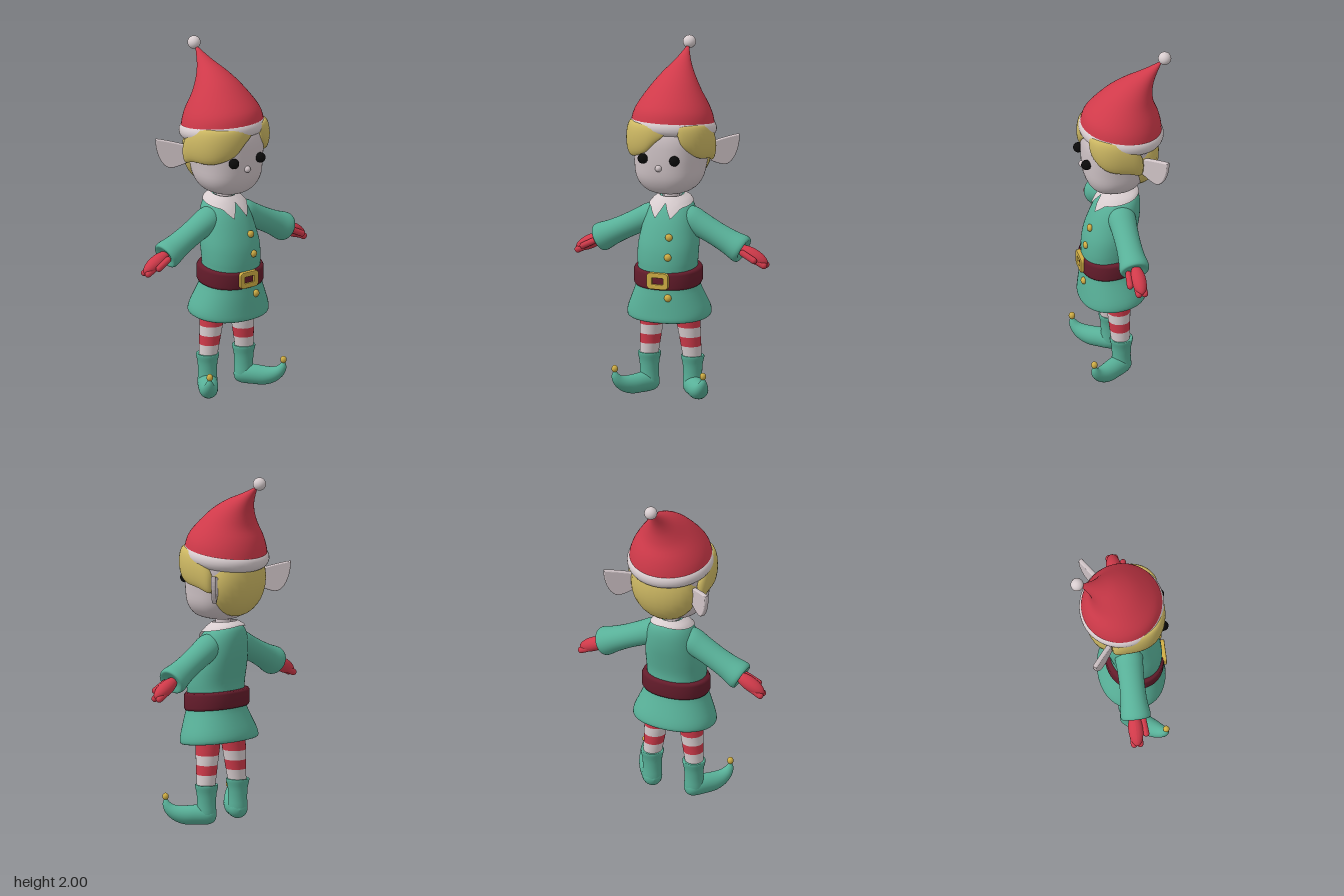
import * as THREE from 'three';
import { mergeVertices } from 'three/addons/utils/BufferGeometryUtils.js';

const paint = (name, color) => Object.assign(new THREE.MeshStandardMaterial({ color }), { name });
const rad = THREE.MathUtils.degToRad;
const lerp = THREE.MathUtils.lerp;

// Catmull-Rom interpolation between rows of numbers
function smooth(rows, k) {
  const out = [];
  for (let i = 0; i < rows.length - 1; i++) {
    const [a, b, c, d] = [-1, 0, 1, 2].map(o => rows[Math.min(Math.max(i + o, 0), rows.length - 1)]);
    for (let s = 0; s < k; s++) {
      const t = s / k;
      out.push(b.map((v, j) => v + 0.5 * t * (c[j] - a[j] +
        t * (2 * a[j] - 5 * v + 4 * c[j] - d[j] + t * (3 * (v - c[j]) + d[j] - a[j])))));
    }
  }
  out.push(rows[rows.length - 1]);
  return out;
}

// Skin closed rings: fn(row, angle) gives a point [x, y, z]
function loft(rows, fn, k = 3, n = 40) {
  const rings = k > 1 ? smooth(rows, k) : rows, pos = [], idx = [];
  rings.forEach((row, i) => {
    for (let j = 0; j < n; j++) {
      pos.push(...fn(row, j / n * Math.PI * 2));
      if (!i) continue;
      const p = (i - 1) * n + j, q = (i - 1) * n + (j + 1) % n;
      idx.push(p, q, q + n, p, q + n, p + n);
    }
  });
  const g = new THREE.BufferGeometry();
  g.setAttribute('position', new THREE.Float32BufferAttribute(pos, 3));
  g.setIndex(idx);
  g.computeVertexNormals();
  return g;
}

// Mirror a geometry across x and restore its winding
function mirror(geo) {
  const g = geo.index ? geo.clone() : mergeVertices(geo);
  g.scale(-1, 1, 1);
  const ix = g.index;
  for (let i = 0; i < ix.count; i += 3) {
    const t = ix.getX(i);
    ix.setX(i, ix.getX(i + 1));
    ix.setX(i + 1, t);
  }
  g.computeVertexNormals();
  return g;
}

const ball = (r, x, y, z, sx = 1, sy = 1, sz = 1) =>
  new THREE.SphereGeometry(r, 24, 16).scale(sx, sy, sz).translate(x, y, z);
const round = ([y, r], a) => [r * Math.sin(a), y, r * Math.cos(a)];
const pw = (v, p) => Math.sign(v) * Math.abs(v) ** p;

// Body ring: [height, half width, front z, back z], slightly boxy
const boxy = (p, tilt) => ([y, w, zf, zb], a) => {
  const z = (zf + zb) / 2 + (zf - zb) / 2 * pw(Math.cos(a), p);
  return [w * pw(Math.sin(a), p), y - tilt * (z - 0.08), z];
};

export function createModel() {
  const model = new THREE.Group();
  const red = paint('red felt', 0xd03a4a), green = paint('green cloth', 0x58b098);
  const skin = paint('pale skin', 0xcfc3c6), white = paint('white trim', 0xd8cdcf);
  const blond = paint('blond hair', 0xcdb863), gold = paint('gold', 0xd0ae45);
  const maroon = paint('maroon leather', 0x641c2b), black = paint('black', 0x0a0a0a);
  white.side = THREE.DoubleSide;

  const add = (name, geo, mat) => {
    const m = new THREE.Mesh(geo, mat);
    m.name = name;
    model.add(m);
    return m;
  };
  const pair = (name, geo, mat) => {
    add('left' + name, geo, mat);
    add('right' + name, mirror(geo), mat);
  };

  // Tunic with a flared, hollow hem
  const tunic = [
    [0.6, 0.001, 0.09, 0.088], [0.58, 0.14, 0.2, -0.03], [0.5, 0.2, 0.225, -0.08], [0.467, 0.224, 0.25, -0.103],
    [0.477, 0.239, 0.264, -0.118], [0.52, 0.233, 0.262, -0.108], [0.6, 0.2, 0.255, -0.075],
    [0.66, 0.178, 0.248, -0.055], [0.74, 0.168, 0.245, -0.05], [0.8, 0.172, 0.245, -0.05],
    [0.88, 0.172, 0.235, -0.065], [0.96, 0.16, 0.21, -0.08], [1.03, 0.145, 0.18, -0.085],
    [1.08, 0.125, 0.15, -0.08], [1.115, 0.095, 0.12, -0.065], [1.14, 0.055, 0.09, -0.03]];
  const body = boxy(0.92, 0.1);
  add('tunic', loft(tunic, body, 3, 48), green);

  // Collar lying on the tunic, with two points at the front
  const tunicRow = y => {
    const i = Math.max(tunic.findIndex((r, k) => k > 9 && r[0] >= y), 10);
    const t = (y - tunic[i - 1][0]) / (tunic[i][0] - tunic[i - 1][0]);
    return tunic[i].map((v, j) => lerp(tunic[i - 1][j], v, t));
  };
  const collarEdge = d => d < 15 ? lerp(1.11, 1.035, d / 15)
    : d < 40 ? lerp(1.035, 1.085, (d - 15) / 25) : lerp(1.085, 1.11, (d - 40) / 140);
  add('collar', loft([[0], [0.2], [0.4], [0.6], [0.8], [1]], ([t], a) => {
    const d = a * 180 / Math.PI;
    const [y, w, zf, zb] = tunicRow(lerp(collarEdge(Math.min(d, 360 - d)), 1.138, t));
    return body([y + 0.008, w + 0.01, zf + 0.012, zb - 0.01], a);
  }, 1, 48), white);

  // Belt, buckle and buttons
  add('belt', loft([[0.65, 0.16, 0.225, -0.035], [0.654, 0.187, 0.25, -0.068], [0.668, 0.194, 0.257, -0.076],
    [0.737, 0.194, 0.257, -0.076], [0.751, 0.187, 0.25, -0.068], [0.756, 0.16, 0.225, -0.035]], body, 1, 48), maroon);
  const roundRect = (C, w, h, r) => {
    const s = new C();
    s.absarc(w - r, h - r, r, 0, Math.PI / 2);
    s.absarc(r - w, h - r, r, Math.PI / 2, Math.PI);
    s.absarc(r - w, r - h, r, Math.PI, Math.PI * 1.5);
    s.absarc(w - r, r - h, r, Math.PI * 1.5, Math.PI * 2);
    s.closePath();
    return s;
  };
  const frame = roundRect(THREE.Shape, 0.06, 0.042, 0.018);
  frame.holes.push(roundRect(THREE.Path, 0.038, 0.023, 0.008));
  add('buckle', new THREE.ExtrudeGeometry(frame, {
    depth: 0.016, bevelSize: 0.005, bevelThickness: 0.005, bevelSegments: 2, curveSegments: 6
  }).translate(0, 0.69, 0.246), gold);
  [[0.05, 0.935, 0.212], [0.052, 0.825, 0.235], [0.058, 0.595, 0.249]].forEach(([x, y, z], i) =>
    add('button' + (i + 1), ball(0.021, x, y, z, 1, 1, 0.8), gold));

  // Sleeves and mittens, built along the arm and then swung out
  const arm = g => g.rotateZ(-2.035).translate(0.09, 1.03, 0.045);
  pair('Sleeve', arm(loft([[-0.06, 0.001], [-0.03, 0.05], [0.03, 0.073], [0.1, 0.07], [0.2, 0.067], [0.29, 0.071],
    [0.345, 0.079], [0.37, 0.08], [0.385, 0.072], [0.38, 0.05], [0.36, 0.001]], round, 3, 32).scale(1, 1, 1.06)), green);
  pair('Palm', arm(ball(1, 0, 0.445, -0.008, 0.04, 0.095, 0.042)), red);
  for (const z of [-0.026, 0.008])
    pair('Finger', arm(new THREE.CapsuleGeometry(0.019, 0.06, 6, 14).translate(0.012, 0.5, z)), red);
  pair('Thumb', arm(new THREE.CapsuleGeometry(0.018, 0.08, 6, 14).rotateX(0.1).translate(0.002, 0.435, 0.044)), red);

  // Striped legs
  const stripes = [0.21, 0.29, 0.345, 0.4, 0.465, 0.6];
  const legRow = y => {
    const t = (y - 0.22) / 0.25;
    return [y, Math.min(lerp(0.052, 0.071, t), 0.075), lerp(0.13, 0.105, t), lerp(0.055, 0.063, t)];
  };
  for (let i = 0; i < 5; i++)
    pair('LegStripe' + (i + 1), loft([legRow(stripes[i]), legRow(stripes[i + 1])],
      ([y, r, x, z], a) => [x + r * Math.sin(a), y, z + r * Math.cos(a)], 1, 28), i % 2 ? red : white);

  // Boots with curled toes, turned outward: foot rows are [z, y, radius, pitch]
  const boot = g => g.rotateY(0.63).translate(0.13, 0, 0.05);
  pair('BootShaft', boot(loft([[0.03, 0.001], [0.032, 0.04], [0.06, 0.055], [0.12, 0.053], [0.18, 0.056],
    [0.222, 0.065], [0.234, 0.062], [0.23, 0.045]], round, 3, 32)), green);
  pair('BootFoot', boot(loft([[-0.057, 0.06, 0.001, 0], [-0.045, 0.06, 0.036, 0], [-0.01, 0.062, 0.055, 0],
    [0.06, 0.06, 0.056, 0], [0.12, 0.058, 0.053, 0.1], [0.17, 0.07, 0.045, 0.5], [0.21, 0.095, 0.032, 0.9],
    [0.228, 0.125, 0.02, 1.3], [0.23, 0.15, 0.006, 1.5]],
  ([z, y, r, p], a) => [r * Math.sin(a), y - r * Math.cos(p) * Math.cos(a), z + r * Math.sin(p) * Math.cos(a)], 3, 28)), green);
  pair('Bell', ball(0.018, 0.265, 0.16, 0.238, 1, 1.15, 1), gold);

  // Neck and head
  add('neck', new THREE.CylinderGeometry(0.042, 0.045, 0.12, 24).translate(0, 1.15, 0.04), skin);
  add('head', loft([[1.165, 0.001, 0.081, 0.079], [1.168, 0.07, 0.15, -0.02], [1.186, 0.125, 0.19, -0.05],
    [1.22, 0.165, 0.216, -0.08], [1.27, 0.19, 0.235, -0.11], [1.34, 0.2, 0.243, -0.14], [1.42, 0.21, 0.245, -0.165],
    [1.5, 0.215, 0.238, -0.17], [1.56, 0.19, 0.2, -0.15], [1.6, 0.001, 0.03, 0.028]], boxy(0.85, 0), 3, 48), skin);
  pair('Eye', ball(0.029, 0.095, 1.385, 0.243), black);
  add('nose', ball(0.019, 0, 1.335, 0.245), skin);

  // Pointed ears swept back
  const ear = new THREE.Shape();
  ear.moveTo(-0.02, 1.43);
  ear.quadraticCurveTo(0.07, 1.455, 0.15, 1.467);
  ear.bezierCurveTo(0.15, 1.39, 0.11, 1.3, 0.06, 1.31);
  ear.quadraticCurveTo(0.02, 1.32, -0.02, 1.34);
  pair('Ear', mergeVertices(new THREE.ExtrudeGeometry(ear, {
    depth: 0.008, bevelSize: 0.006, bevelThickness: 0.009, bevelSegments: 3, curveSegments: 10
  })).translate(0, 0, -0.004).rotateY(0.66).translate(0.2, 0, -0.08), skin);

  // Hair: back cap and two fringe locks, rows are [angle, top, bottom, thickness]
  add('hairBack', ball(1, 0, 1.4, -0.06, 0.2, 0.21, 0.13), blond);
  const lock = rows => loft(rows, ([deg, top, low, th], b) => {
    const a = rad(deg), o = th * Math.cos(b);
    return [(0.22 + o) * pw(Math.sin(a), 0.85), (top + low) / 2 - (top - low) / 2 * Math.sin(b),
      0.04 + (0.203 + o) * pw(Math.cos(a), 0.85)];
  }, 4, 24);
  const lockEnd = [[90, 1.56, 1.37, 0.03], [108, 1.49, 1.345, 0.024], [115, 1.44, 1.36, 0.002]];
  add('leftFringe', lock([[25, 1.57, 1.53, 0.004], [34, 1.58, 1.46, 0.02], [60, 1.58, 1.395, 0.03], ...lockEnd]), blond);
  add('rightFringe', mirror(lock([[-6, 1.57, 1.53, 0.004], [5, 1.58, 1.475, 0.016], [19, 1.58, 1.42, 0.022],
    [45, 1.58, 1.385, 0.028], [65, 1.58, 1.375, 0.03], ...lockEnd])), blond);

  // Hat: rows are [front z, front y, back z, back y, half width]
  add('hat', loft([[0.25, 1.58, -0.21, 1.5, 0.238], [0.235, 1.64, -0.205, 1.57, 0.225], [0.19, 1.7, -0.19, 1.635, 0.195],
    [0.095, 1.79, -0.165, 1.7, 0.142], [0, 1.85, -0.158, 1.76, 0.097], [-0.08, 1.885, -0.163, 1.81, 0.062],
    [-0.14, 1.912, -0.178, 1.86, 0.036], [-0.205, 1.945, -0.212, 1.935, 0.008]],
  ([zf, yf, zb, yb, w], a) => {
    const c = Math.cos(a);
    return [w * Math.sin(a), (yf + yb) / 2 + (yf - yb) / 2 * c, (zf + zb) / 2 + (zf - zb) / 2 * c];
  }, 3, 48), red);
  add('hatBand', new THREE.TorusGeometry(0.212, 0.035, 16, 56).rotateX(Math.PI / 2)
    .scale(1, 1.25, 0.975).rotateX(-0.147).translate(0, 1.533, 0.02), white);
  add('pompom', ball(0.037, 0, 1.963, -0.232), white);

  return model;
}
